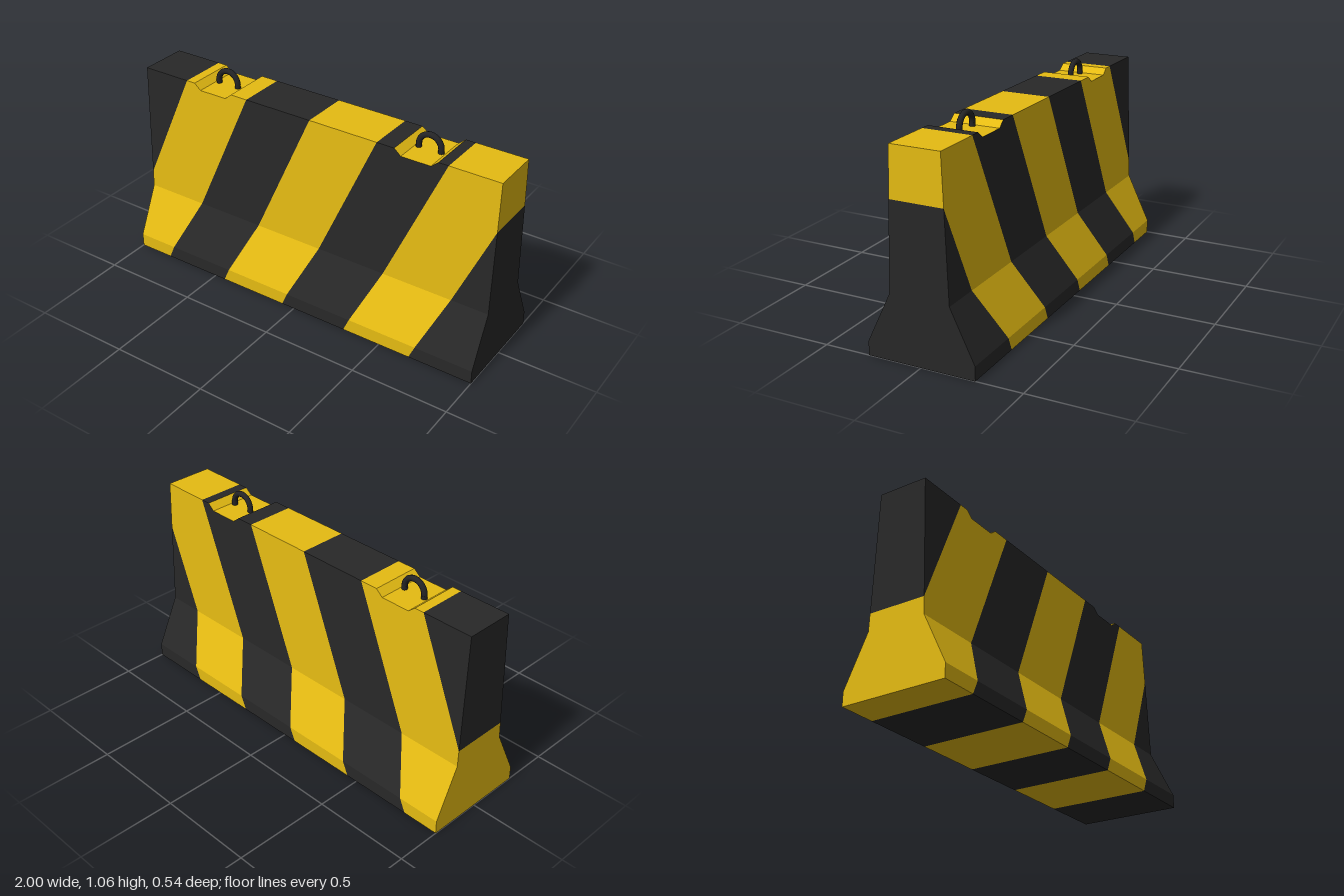
import * as THREE from 'three';

const yellow = new THREE.MeshStandardMaterial({ color: 0xe5bb12 });
yellow.name = 'yellow paint';
const black = new THREE.MeshStandardMaterial({ color: 0x282828 });
black.name = 'black paint';
const steel = new THREE.MeshStandardMaterial({ color: 0x242426 });
steel.name = 'dark steel';

const LEAN = 0.442, FIRST = -1.179, STEP = 0.369; // slanted stripes
const HOOK_X = 0.575, NOTCH_TOP = 0.113, NOTCH_FLOOR = 0.077, FLOOR_Y = 0.97;

// half thickness of the barrier at each height
const profile = [[0, 0.27], [0.07, 0.27], [0.32, 0.15], [1, 0.125]];
function halfDepth(y) {
  for (let i = 1; i < profile.length; i++) {
    const [y0, d0] = profile[i - 1], [y1, d1] = profile[i];
    if (y <= y1 + 1e-6) return d0 + (d1 - d0) * (y - y0) / (y1 - y0);
  }
  return 0.125;
}

// keep the part of a convex polygon where f(point) >= 0
function clip(poly, f) {
  const out = [];
  poly.forEach((a, i) => {
    const b = poly[(i + 1) % poly.length], fa = f(a), fb = f(b);
    if (fa >= 0) out.push(a);
    if ((fa >= 0) !== (fb >= 0)) {
      const t = fa / (fa - fb);
      out.push([a[0] + (b[0] - a[0]) * t, a[1] + (b[1] - a[1]) * t]);
    }
  });
  return out;
}

const at = ([x, y], side) => [x, y, side * halfDepth(y)];

// quad running from the front face to the back face along one outline edge
function across(pos, a, b) {
  pos.push(...at(a, 1), ...at(a, -1), ...at(b, -1), ...at(a, 1), ...at(b, -1), ...at(b, 1));
}

function meshFrom(pos, material, name) {
  const g = new THREE.BufferGeometry();
  g.setAttribute('position', new THREE.Float32BufferAttribute(pos, 3));
  g.computeVertexNormals();
  const m = new THREE.Mesh(g, material);
  m.name = name;
  return m;
}

// front outline cut into convex cells, leaving the two notches open
function outlineCells() {
  const ys = [0, 0.07, 0.32, FLOOR_Y];
  const cells = [];
  for (let i = 0; i < 3; i++) cells.push([[-1, ys[i]], [1, ys[i]], [1, ys[i + 1]], [-1, ys[i + 1]]]);
  const h = HOOK_X, f = NOTCH_FLOOR, t = NOTCH_TOP;
  cells.push([[-1, FLOOR_Y], [-h - f, FLOOR_Y], [-h - t, 1], [-1, 1]]);
  cells.push([[-h + f, FLOOR_Y], [h - f, FLOOR_Y], [h - t, 1], [-h + t, 1]]);
  cells.push([[h + f, FLOOR_Y], [1, FLOOR_Y], [1, 1], [h + t, 1]]);
  return cells;
}

// one painted stripe, wrapping front, back, top, bottom and ends
function stripe(lo, hi, material, name) {
  const pos = [];
  const s = (p) => p[0] - LEAN * p[1];
  for (const cell of outlineCells()) {
    const poly = clip(clip(cell, (p) => s(p) - lo), (p) => hi - s(p));
    for (let i = 1; i < poly.length - 1; i++) {
      const [a, b, c] = [poly[0], poly[i], poly[i + 1]];
      pos.push(...at(a, 1), ...at(b, 1), ...at(c, 1), ...at(a, -1), ...at(c, -1), ...at(b, -1));
    }
    poly.forEach((a, i) => {
      const b = poly[(i + 1) % poly.length];
      const on = (k, v) => Math.abs(a[k] - v) < 1e-6 && Math.abs(b[k] - v) < 1e-6;
      if (on(1, 0) || on(1, 1) || on(0, 1) || on(0, -1)) across(pos, a, b);
    });
  }
  return meshFrom(pos, material, name);
}

// sloped recess in the top, always yellow
function notch(x) {
  const pts = [[x + NOTCH_TOP, 1], [x + NOTCH_FLOOR, FLOOR_Y], [x - NOTCH_FLOOR, FLOOR_Y], [x - NOTCH_TOP, 1]];
  const pos = [];
  for (let i = 0; i < 3; i++) across(pos, pts[i], pts[i + 1]);
  return meshFrom(pos, yellow, 'notch');
}

// half-ring lifting loop with two short legs
function liftingLoop(x) {
  const group = new THREE.Group();
  group.name = 'liftingLoop';
  const R = 0.058, r = 0.0145, cy = 0.9875;
  const ring = new THREE.Mesh(new THREE.TorusGeometry(R, r, 10, 20, Math.PI), steel);
  ring.name = 'loopArch';
  ring.position.set(x, cy, 0);
  group.add(ring);
  for (const side of [-1, 1]) {
    const leg = new THREE.Mesh(new THREE.CylinderGeometry(r, r, 0.0225, 10), steel);
    leg.name = 'loopLeg';
    leg.position.set(x + side * R, cy - 0.01125, 0);
    group.add(leg);
  }
  return group;
}

export function createModel() {
  const model = new THREE.Group();
  model.name = 'trafficBarrier';
  for (let k = 0; k < 7; k++) {
    const lo = k === 0 ? -9 : FIRST + (k - 1) * STEP;
    const hi = k === 6 ? 9 : FIRST + k * STEP;
    const isBlack = k % 2 === 0;
    model.add(stripe(lo, hi, isBlack ? black : yellow, isBlack ? 'blackStripe' : 'yellowStripe'));
  }
  for (const x of [-HOOK_X, HOOK_X]) model.add(notch(x), liftingLoop(x));
  return model;
}
